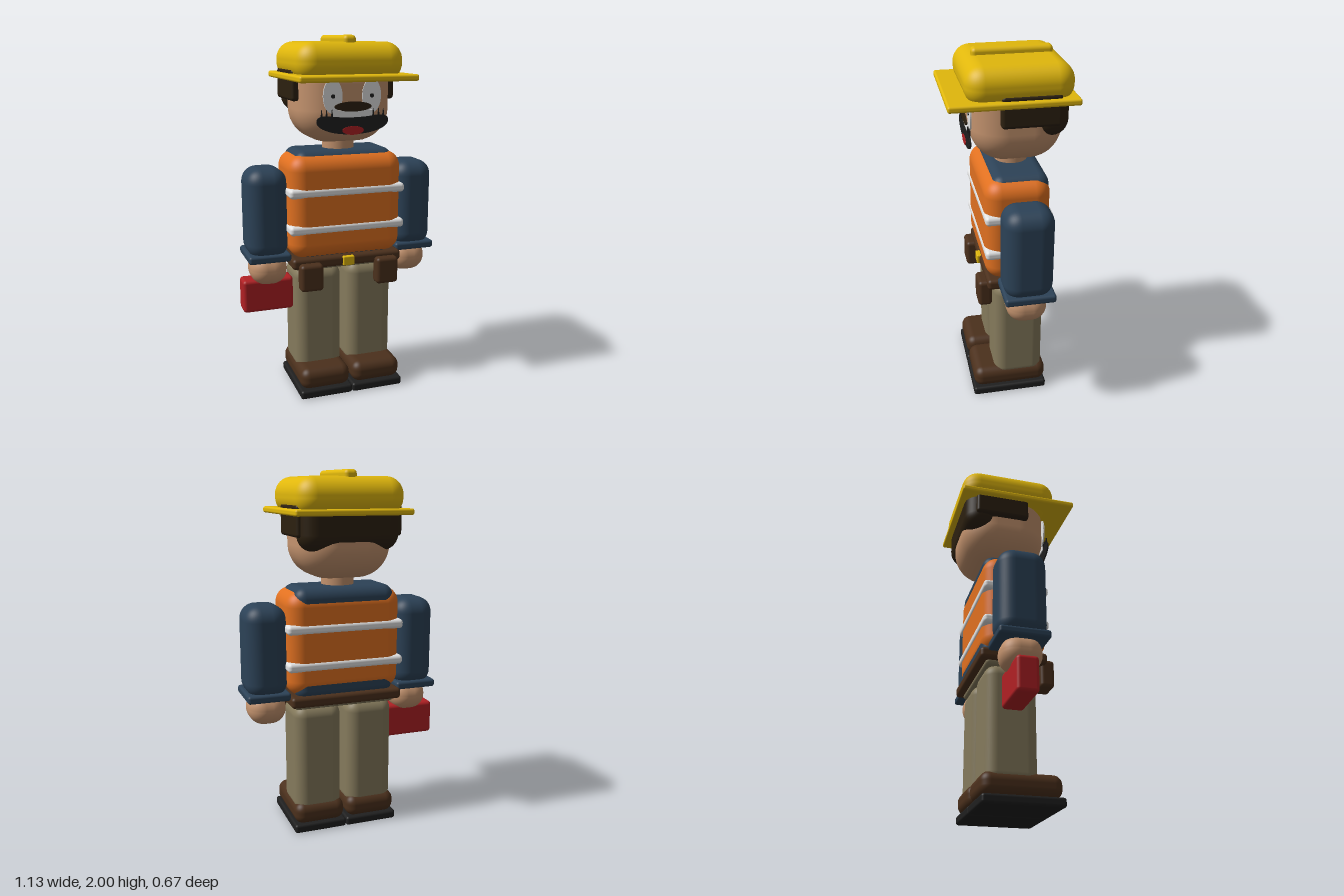
import * as THREE from 'three';
import { RoundedBoxGeometry } from 'three/addons/geometries/RoundedBoxGeometry.js';

const mat = (name, color) => Object.assign(new THREE.MeshStandardMaterial({ color }), { name });

export function createModel() {
  const M = {
    skin: mat('skin', 0xc4936e), yellow: mat('hat yellow', 0xe0b70c), orange: mat('vest orange', 0xe07020),
    blue: mat('shirt blue', 0x2c4257), khaki: mat('trouser khaki', 0x857a5c), brown: mat('leather brown', 0x4b301c),
    black: mat('black', 0x1f1f1f), white: mat('white', 0xe2e2e2), red: mat('red', 0xb02024), hair: mat('hair', 0x2c2010),
  };
  const model = new THREE.Group();
  model.name = 'builder';
  const CX = 0.01; // mid-line of the figure

  const add = (name, geometry, material, x = 0, y = 0, z = 0) => {
    const mesh = new THREE.Mesh(geometry, material);
    mesh.name = name;
    mesh.position.set(x, y, z);
    model.add(mesh);
    return mesh;
  };
  // rounded box given by its limits on each axis
  const box = (name, material, [x0, x1], [y0, y1], [z0, z1], r) =>
    add(name, new RoundedBoxGeometry(x1 - x0, y1 - y0, z1 - z0, 5, r), material,
      (x0 + x1) / 2, (y0 + y1) / 2, (z0 + z1) / 2);
  // box centred on the mid-line, given by its half width
  const mid = (name, material, half, y, z, r) => box(name, material, [CX - half, CX + half], y, z, r);
  // the same box on both sides, given by its inner and outer distance
  const pair = (name, material, [a, b], y, z, r) => {
    box('left' + name, material, [CX + a, CX + b], y, z, r);
    box('right' + name, material, [CX - b, CX - a], y, z, r);
  };

  // legs and boots
  pair('Sole', M.black, [0.001, 0.305], [0, 0.05], [-0.2, 0.23], 0.015);
  pair('Boot', M.brown, [0.008, 0.298], [0.045, 0.167], [-0.2, 0.223], 0.05);
  pair('Leg', M.khaki, [0.018, 0.288], [0.1, 0.735], [-0.18, 0.1], 0.065);
  mid('hips', M.khaki, 0.29, [0.72, 0.8], [-0.18, 0.1], 0.02);

  // torso
  mid('shirt', M.blue, 0.285, [0.77, 1.39], [-0.197, 0.11], 0.06);
  mid('vest', M.orange, 0.325, [0.795, 1.372], [-0.2, 0.15], 0.085);
  for (const y of [0.965, 1.17]) mid('reflectiveBand', M.white, 0.333, [y - 0.026, y + 0.026], [-0.207, 0.155], 0.02);

  // tool belt
  mid('belt', M.brown, 0.32, [0.742, 0.803], [-0.218, 0.145], 0.02);
  mid('buckle', M.yellow, 0.033, [0.747, 0.8], [0.1, 0.16], 0.006);
  pair('Pouch', M.brown, [0.157, 0.287], [0.625, 0.778], [0.115, 0.192], 0.02);

  // arms and hands
  pair('Sleeve', M.blue, [0.315, 0.545], [0.79, 1.3], [-0.175, 0.09], 0.085);
  pair('Cuff', M.blue, [0.312, 0.551], [0.78, 0.825], [-0.18, 0.092], 0.015);
  pair('Hand', M.skin, [0.318, 0.528], [0.632, 0.81], [-0.148, 0.07], 0.085);
  box('toolbox', M.red, [-0.565, -0.275], [0.475, 0.665], [-0.1, 0.016], 0.02);

  // head and hair
  add('neck', new THREE.CylinderGeometry(0.09, 0.09, 0.14, 32), M.skin, CX, 1.42, -0.04);
  mid('head', M.skin, 0.262, [1.43, 1.93], [-0.292, 0.195], 0.18);
  mid('backHair', M.hair, 0.278, [1.58, 1.88], [-0.3, -0.11], 0.09);
  pair('SideHair', M.hair, [0.2, 0.294], [1.657, 1.825], [-0.245, 0.062], 0.018);

  // hard hat
  mid('hatBrim', M.yellow, 0.323, [1.768, 1.802], [-0.335, 0.33], 0.012);
  mid('hatDome', M.yellow, 0.296, [1.76, 1.966], [-0.32, 0.235], 0.095);
  mid('hatRidge', M.yellow, 0.035, [1.93, 2], [-0.255, 0.168], 0.022);

  // face: thin plates in front of the head
  const plate = (name, shape, material, x, y, z) =>
    add(name, new THREE.ExtrudeGeometry(shape, { depth: 0.008, bevelEnabled: false, curveSegments: 24 }), material, x, y, z);
  const oval = (rx, ry) => new THREE.Shape().absellipse(0, 0, rx, ry, 0, Math.PI * 2);
  for (const s of [-1, 1]) {
    plate('eye', oval(0.053, 0.09), M.white, CX + s * 0.108, 1.69, 0.192);
    plate('pupil', oval(0.011, 0.011), M.black, CX + s * 0.108, 1.69, 0.196);
  }
  plate('teeth', new THREE.Shape([[-0.12, -0.02], [0.12, -0.02], [0.11, 0.025], [-0.11, 0.025]]
    .map(p => new THREE.Vector2(...p))), M.white, CX, 1.59, 0.196);
  plate('nose', oval(0.102, 0.026), M.hair, CX, 1.636, 0.206);

  // mouth: a wide lens with drooping underside and ragged ends on top
  const mouth = new THREE.Shape();
  mouth.moveTo(-0.2, 1.56);
  mouth.bezierCurveTo(-0.2, 1.52, -0.11, 1.49, 0, 1.49);
  mouth.bezierCurveTo(0.11, 1.49, 0.2, 1.52, 0.2, 1.56);
  mouth.bezierCurveTo(0.2, 1.59, 0.16, 1.59, 0.13, 1.588);
  mouth.quadraticCurveTo(0, 1.57, -0.13, 1.588);
  mouth.bezierCurveTo(-0.16, 1.59, -0.2, 1.59, -0.2, 1.56);
  plate('mouth', mouth, M.black, CX, 0, 0.202);
  const spike = new THREE.Shape([[-0.006, 0], [0.006, 0], [0, 0.045]].map(p => new THREE.Vector2(...p)));
  for (const x of [-0.172, -0.145, -0.115, 0.115, 0.145, 0.172]) plate('whisker', spike, M.black, CX + x, 1.578, 0.202);
  plate('tongue', oval(0.06, 0.023), M.red, CX, 1.511, 0.206);

  return model;
}
